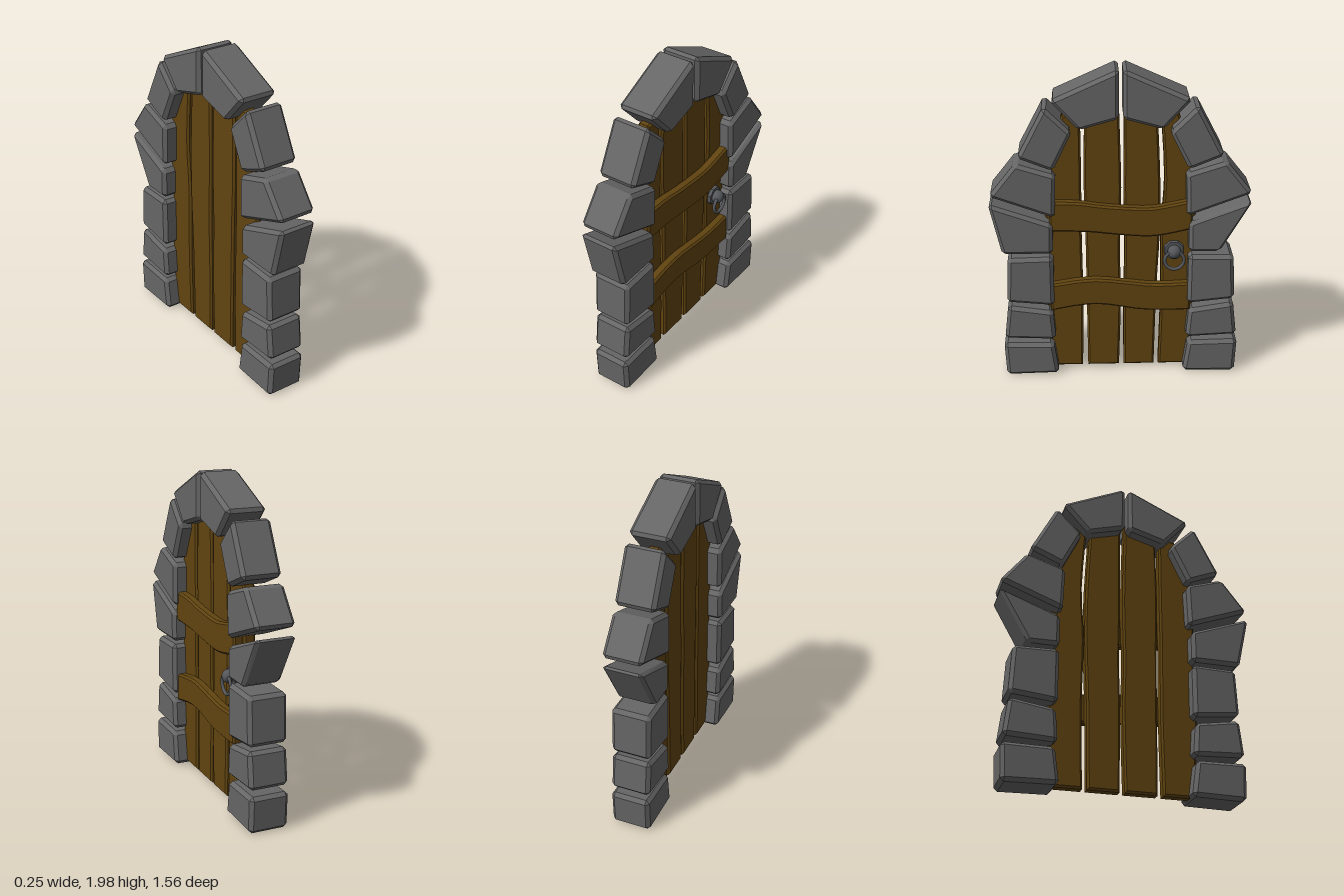
import * as THREE from 'three';
import { ConvexGeometry } from 'three/addons/geometries/ConvexGeometry.js';

const material = (name, color) => {
  const m = new THREE.MeshStandardMaterial({ color });
  m.name = name;
  return m;
};

// All outlines are [z, y] pairs; the door lies in the z-y plane and faces +x.
const HALF_DEPTH = 0.1225;

// Block with every edge chamfered, from four corners
function stoneGeometry(corners, c = 0.022) {
  const pts = corners.map(([z, y]) => new THREE.Vector2(z, y));
  const points = [];
  pts.forEach((p, i) => {
    const u = pts[(i + 1) % 4].clone().sub(p).setLength(c);
    const v = pts[(i + 3) % 4].clone().sub(p).setLength(c);
    for (const s of [-1, 1]) {
      const face = p.clone().add(u).add(v);
      points.push(new THREE.Vector3(s * HALF_DEPTH, face.y, face.x));
      for (const d of [u, v]) {
        const q = p.clone().add(d);
        points.push(new THREE.Vector3(s * (HALF_DEPTH - c), q.y, q.x));
      }
    }
  });
  return new ConvexGeometry(points);
}

// Wavy board between two edge curves, with a small bevel
function boardGeometry(edgeA, edgeB, x0, x1) {
  const sample = (edge) =>
    new THREE.SplineCurve(edge.map(([z, y]) => new THREE.Vector2(-z, y))).getPoints(12);
  const shape = new THREE.Shape([...sample(edgeA), ...sample(edgeB).reverse()]);
  const bevel = 0.012;
  const geo = new THREE.ExtrudeGeometry(shape, {
    depth: x1 - x0 - 2 * bevel, bevelEnabled: true, bevelSegments: 1,
    bevelSize: bevel, bevelThickness: bevel, bevelOffset: -bevel,
  });
  geo.rotateY(Math.PI / 2);
  geo.translate(x0 + bevel, 0, 0);
  return geo;
}

export function createModel() {
  const model = new THREE.Group();
  model.name = 'archedDoor';
  const stone = material('stone grey', 0x666666);
  const wood = material('dark wood', 0x614410);
  const iron = material('iron', 0x55575b);

  const add = (name, geometry, mat, parent = model) => {
    const mesh = new THREE.Mesh(geometry, mat);
    mesh.name = name;
    parent.add(mesh);
    return mesh;
  };

  // Stone arch: one side listed from the ground up, then mirrored
  const stones = [
    [[0.73, 0.237], [0.42, 0.232], [0.39, 0.015], [0.72, 0.008]],
    [[0.695, 0.503], [0.42, 0.46], [0.405, 0.26], [0.722, 0.275]],
    [[0.685, 0.826], [0.41, 0.832], [0.41, 0.50], [0.70, 0.53]],
    [[0.787, 1.185], [0.41, 1.05], [0.41, 0.855], [0.715, 0.855]],
    [[0.62, 1.44], [0.385, 1.365], [0.395, 1.09], [0.782, 1.235]],
    [[0.445, 1.785], [0.285, 1.625], [0.40, 1.39], [0.607, 1.475]],
    [[0.012, 2.0], [0.012, 1.705], [0.245, 1.64], [0.41, 1.82]],
  ];
  const arch = new THREE.Group();
  arch.name = 'stoneArch';
  model.add(arch);
  for (const side of [1, -1]) {
    stones.forEach((corners, i) => {
      const outline = corners.map(([z, y]) => [z * side, y]);
      if (side < 0 && i === 3) outline[3][0] = -0.6; // this block tapers more
      add(`${side > 0 ? 'front' : 'back'}ArchStone${i + 1}`, stoneGeometry(outline), stone, arch);
    });
  }

  // Upright planks: the two long edges, bottom to top
  const planks = [
    [[[0.43, 0.025], [0.46, 0.5], [0.445, 0.85], [0.455, 1.15], [0.435, 1.42], [0.34, 1.71]],
      [[0.24, 0.025], [0.232, 0.5], [0.236, 0.95], [0.234, 1.3], [0.235, 1.72]]],
    [[[0.207, 0.025], [0.21, 0.5], [0.213, 0.95], [0.22, 1.3], [0.21, 1.72]],
      [[0.01, 0.025], [-0.002, 0.5], [0.004, 0.85], [-0.004, 1.25], [0.01, 1.78]]],
    [[[-0.02, 0.025], [-0.018, 0.5], [-0.024, 0.85], [-0.018, 1.25], [-0.02, 1.78]],
      [[-0.212, 0.025], [-0.222, 0.55], [-0.238, 0.95], [-0.236, 1.3], [-0.215, 1.72]]],
    [[[-0.24, 0.025], [-0.25, 0.55], [-0.243, 0.95], [-0.262, 1.3], [-0.235, 1.72]],
      [[-0.43, 0.025], [-0.455, 0.5], [-0.445, 0.85], [-0.455, 1.15], [-0.435, 1.42], [-0.34, 1.71]]],
  ];
  planks.forEach(([a, b], i) => add(`plank${i + 1}`, boardGeometry(a, b, -0.035, 0.04), wood));

  // Wavy cross boards: top edge, then bottom edge
  add('upperCrossBoard', boardGeometry(
    [[0.43, 1.185], [0.25, 1.178], [0.1, 1.155], [-0.14, 1.137], [-0.26, 1.15], [-0.43, 1.185]],
    [[0.43, 0.992], [0.2, 0.985], [0.05, 0.967], [-0.14, 0.95], [-0.26, 0.958], [-0.43, 0.995]],
    0.03, 0.093), wood);
  add('lowerCrossBoard', boardGeometry(
    [[0.43, 0.632], [0.25, 0.66], [0.1, 0.663], [-0.15, 0.63], [-0.28, 0.626], [-0.43, 0.632]],
    [[0.43, 0.452], [0.25, 0.485], [0.1, 0.488], [-0.1, 0.452], [-0.25, 0.442], [-0.43, 0.443]],
    0.03, 0.093), wood);

  // Ring pull: back plate, knob and hanging ring
  const pull = new THREE.Group();
  pull.name = 'ringPull';
  pull.position.set(0.04, 0.84, -0.325);
  model.add(pull);
  const plate = add('pullPlate', new THREE.CylinderGeometry(0.06, 0.065, 0.02, 8), iron, pull);
  plate.geometry.rotateY(Math.PI / 8);
  plate.geometry.rotateZ(-Math.PI / 2);
  plate.geometry.translate(0.01, 0, 0);
  plate.geometry = plate.geometry.toNonIndexed();
  plate.geometry.computeVertexNormals();
  const knob = add('pullKnob', new THREE.SphereGeometry(0.042, 16, 12), iron, pull);
  knob.position.x = 0.035;
  const ring = add('pullRing', new THREE.TorusGeometry(0.059, 0.011, 8, 24), iron, pull);
  ring.rotation.y = Math.PI / 2;
  ring.position.set(0.05, -0.05, 0);

  return model;
}
